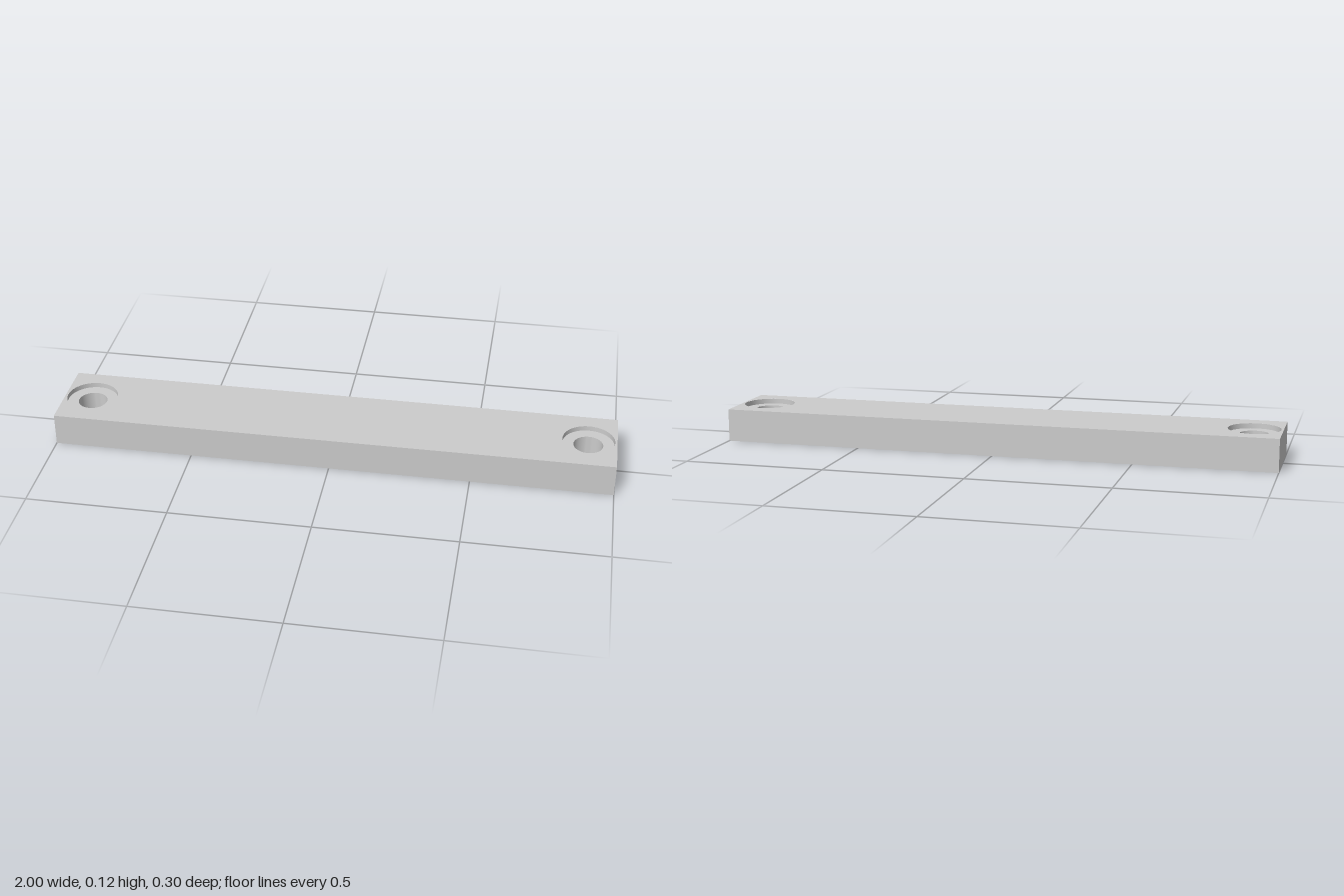
import * as THREE from 'three';
import { toCreasedNormals } from 'three/addons/utils/BufferGeometryUtils.js';

const LENGTH = 2, WIDTH = 0.3, HEIGHT = 0.117;
const HOLE_X = 0.9, BORE_R = 0.052, RECESS_R = 0.092, LEDGE_Y = HEIGHT - 0.018;
const SEGMENTS = 48;

// Flat bar outline with a round hole near each end
function plateFace(holeRadius) {
  const x = LENGTH / 2, y = WIDTH / 2;
  const shape = new THREE.Shape([[-x, -y], [x, -y], [x, y], [-x, y]].map(p => new THREE.Vector2(...p)));
  for (const side of [-1, 1]) {
    shape.holes.push(new THREE.Path().absarc(side * HOLE_X, 0, holeRadius, 0, Math.PI * 2, true));
  }
  return new THREE.ShapeGeometry(shape, SEGMENTS);
}

export function createModel() {
  const model = new THREE.Group();
  model.name = 'mountingBar';
  const material = new THREE.MeshStandardMaterial({ color: 0xcccccc });
  const add = (name, geometry) => {
    const mesh = new THREE.Mesh(geometry, material);
    mesh.name = name;
    model.add(mesh);
  };

  // Top and bottom faces
  add('topFace', plateFace(RECESS_R).rotateX(-Math.PI / 2).translate(0, HEIGHT, 0));
  add('bottomFace', plateFace(BORE_R).rotateX(Math.PI / 2));

  // Four outer walls
  ['front', 'left', 'back', 'right'].forEach((name, i) => {
    const [span, offset] = i % 2 ? [WIDTH, LENGTH / 2] : [LENGTH, WIDTH / 2];
    const wall = new THREE.PlaneGeometry(span, HEIGHT).translate(0, HEIGHT / 2, offset);
    add(name + 'Wall', wall.rotateY(i * Math.PI / 2));
  });

  // Counterbored screw holes: recess wall, ledge, then through bore
  const profile = [[RECESS_R, HEIGHT], [RECESS_R, LEDGE_Y], [BORE_R, LEDGE_Y], [BORE_R, 0]];
  const points = profile.map(p => new THREE.Vector2(...p));
  for (const [name, side] of [['left', 1], ['right', -1]]) {
    const hole = toCreasedNormals(new THREE.LatheGeometry(points, SEGMENTS), Math.PI / 6);
    add(name + 'ScrewHole', hole.translate(side * HOLE_X, 0, 0));
  }
  return model;
}
